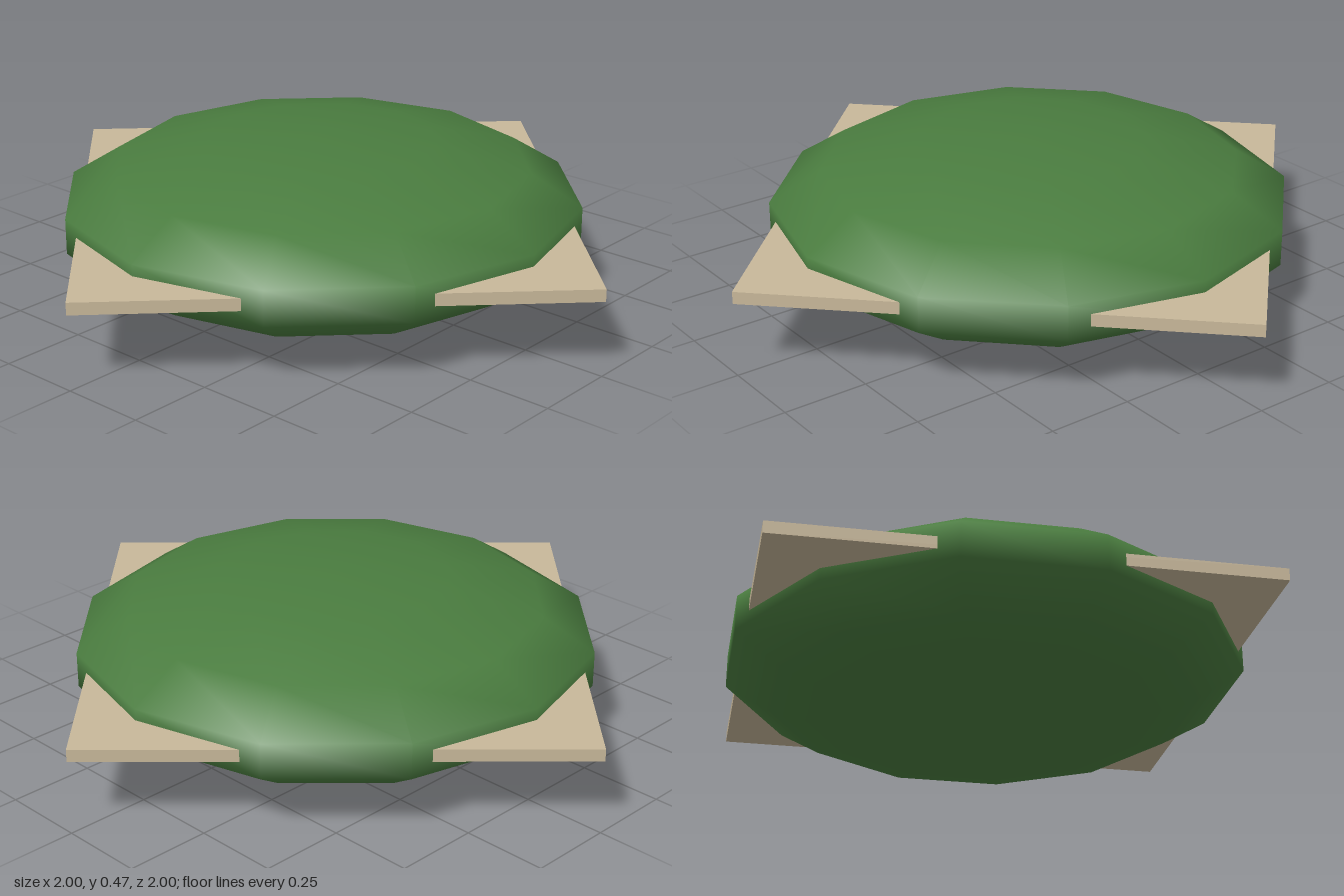
import * as THREE from 'three';

export function createModel() {
  const group = new THREE.Group();
  const radius = 0.785;
  const flatten = 0.3;
  const midHeight = radius * flatten;

  // Flattened low-poly ball, smoothly shaded
  const cushion = new THREE.Mesh(
    new THREE.SphereGeometry(radius, 12, 7).scale(1, flatten, 1),
    new THREE.MeshStandardMaterial({ color: 0x4a7c3f })
  );
  cushion.name = 'cushion';
  cushion.position.y = midHeight;
  group.add(cushion);

  // Thin square board turned 45 degrees, its corners showing around the ball
  const board = new THREE.Mesh(
    new THREE.BoxGeometry(Math.SQRT2, 0.036, Math.SQRT2),
    new THREE.MeshStandardMaterial({ color: 0xc8b89a })
  );
  board.name = 'board';
  board.position.y = midHeight;
  board.rotation.y = Math.PI / 4;
  group.add(board);

  return group;
}
